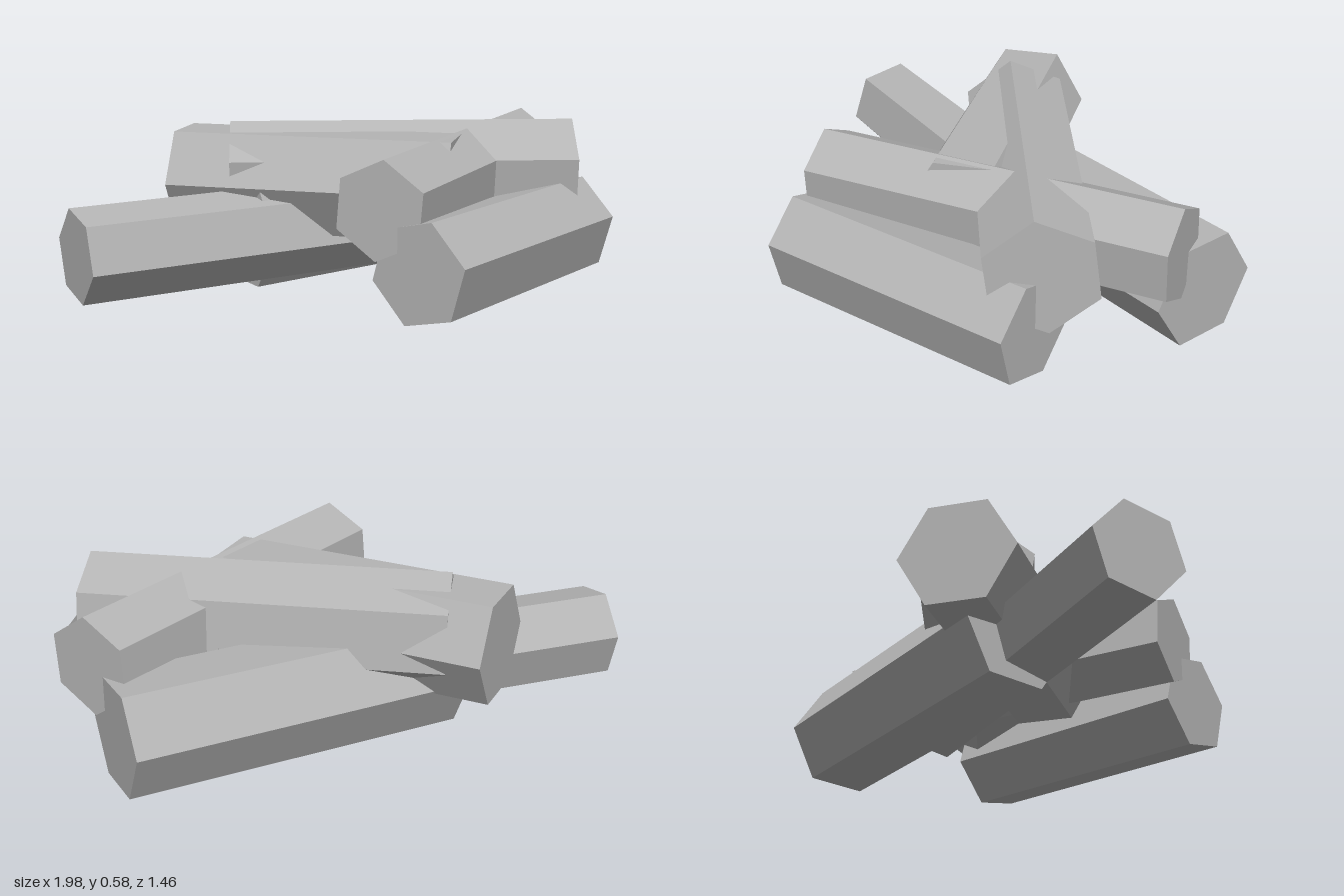
import * as THREE from 'three';

const grey = new THREE.MeshStandardMaterial({ color: 0xb4b4b4, flatShading: true });
grey.name = 'plain grey';

// Six-sided log lying level between two end centres [x, z] at height y.
// turn (degrees) is the angle of its first corner above the horizontal.
function makeLog(name, rightEnd, leftEnd, y, radius, turn) {
  const a = new THREE.Vector3(rightEnd[0], y, rightEnd[1]);
  const b = new THREE.Vector3(leftEnd[0], y, leftEnd[1]);
  const axis = b.clone().sub(a);
  const length = axis.length();
  axis.normalize();
  const up = new THREE.Vector3(0, 1, 0);
  const side = up.clone().cross(axis);

  const geometry = new THREE.CylinderGeometry(
    radius, radius, length, 6, 1, false, THREE.MathUtils.degToRad(turn));
  const log = new THREE.Mesh(geometry, grey);
  log.name = name;
  log.quaternion.setFromRotationMatrix(new THREE.Matrix4().makeBasis(up, axis, side));
  log.position.copy(a).add(b).multiplyScalar(0.5);
  return log;
}

export function createModel() {
  const pile = new THREE.Group();
  pile.name = 'logPile';
  pile.add(
    // Bottom layer
    makeLog('frontBottomLog', [0.74, 0.325], [-0.23, 0.545], 0.19, 0.188, 14),
    makeLog('backBottomLog', [0.91, -0.275], [-0.3, -0.325], 0.19, 0.207, 57),
    makeLog('longBottomLog', [0.47, -0.13], [-0.96, -0.375], 0.195, 0.167, 48),
    // Crossing logs on top
    makeLog('frontTopLog', [0.93, -0.135], [-0.275, 0.405], 0.385, 0.173, 25),
    makeLog('diagonalTopLog', [0.75, 0.31], [-0.25, -0.46], 0.382, 0.205, 22),
    makeLog('backTopLog', [0.25, 0.22], [-0.35, -0.617], 0.37, 0.207, 0),
  );
  return pile;
}
